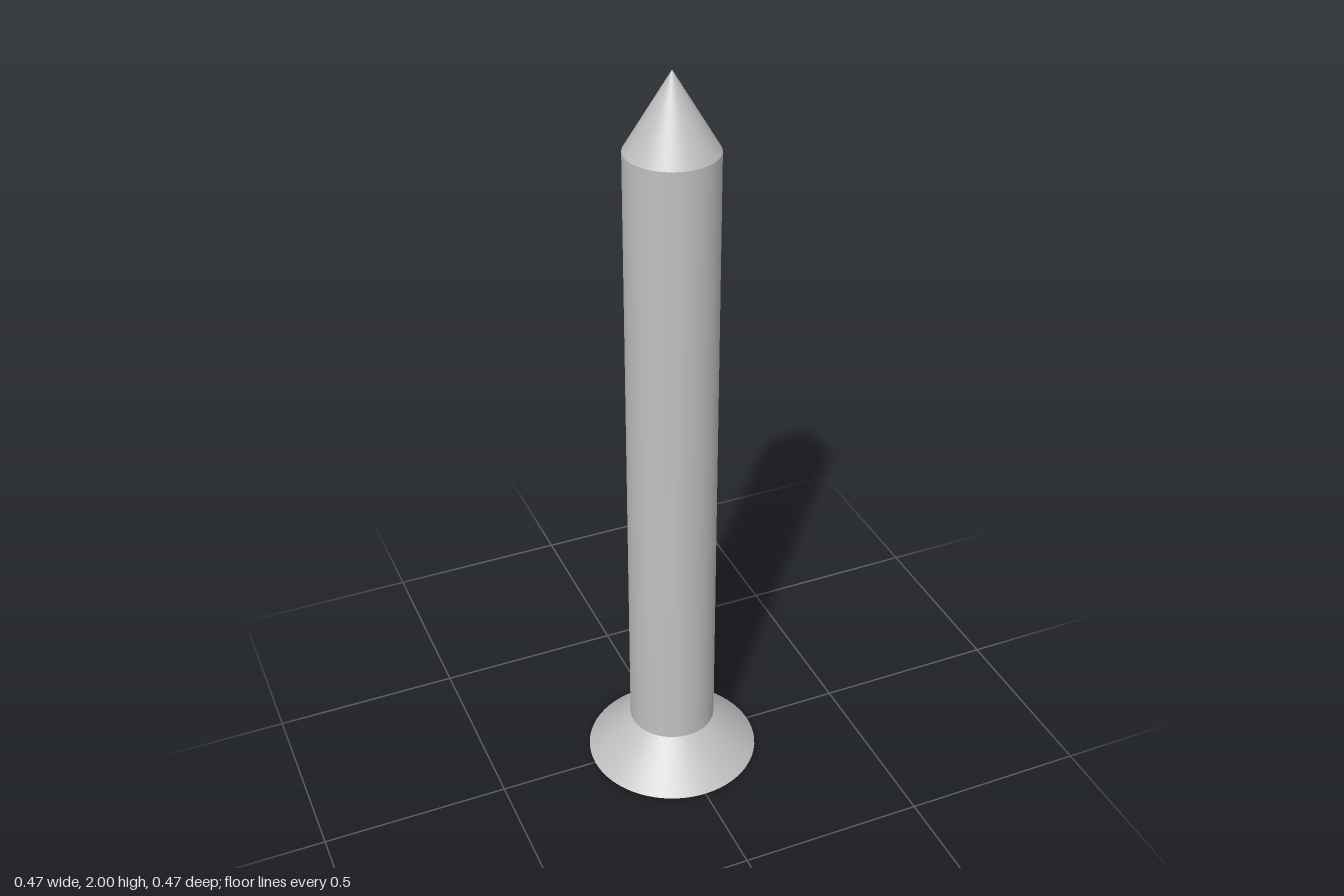
import * as THREE from 'three';

const SEGMENTS = 64;
const HEAD_R = 0.233, SHANK_R = 0.116;
const HEAD_H = 0.117, SHANK_TOP = 1.805, TOTAL_H = 2;
const ARM = 0.12, HALF_W = 0.03, RECESS_DEPTH = 0.07;

// Plus-shaped outline, counter-clockwise
function crossPoints(l, w) {
  const points = [];
  for (let i = 0; i < 4; i++) {
    const a = i * Math.PI / 2;
    for (const [x, y] of [[l, -w], [l, w], [w, w]]) {
      points.push(new THREE.Vector2(x, y).rotateAround(new THREE.Vector2(), a));
    }
  }
  return points;
}

// Inward-facing side walls of the recess
function recessWalls(points, depth) {
  const positions = [];
  points.forEach((a, i) => {
    const b = points[(i + 1) % points.length];
    positions.push(a.x, 0, a.y, b.x, 0, b.y, b.x, depth, b.y);
    positions.push(a.x, 0, a.y, b.x, depth, b.y, a.x, depth, a.y);
  });
  const geometry = new THREE.BufferGeometry();
  geometry.setAttribute('position', new THREE.Float32BufferAttribute(positions, 3));
  geometry.computeVertexNormals();
  return geometry;
}

export function createModel() {
  const model = new THREE.Group();
  model.name = 'screw';
  const steel = new THREE.MeshStandardMaterial({ color: 0xc0c0c0 });
  steel.name = 'steel';

  const add = (name, geometry, y = 0) => {
    const mesh = new THREE.Mesh(geometry, steel);
    mesh.name = name;
    mesh.position.y = y;
    model.add(mesh);
  };

  // Countersunk head, shank and pointed tip
  const shankH = SHANK_TOP - HEAD_H, tipH = TOTAL_H - SHANK_TOP;
  add('headCone', new THREE.CylinderGeometry(SHANK_R, HEAD_R, HEAD_H, SEGMENTS, 1, true), HEAD_H / 2);
  add('shank', new THREE.CylinderGeometry(SHANK_R, SHANK_R, shankH, SEGMENTS, 1, true), HEAD_H + shankH / 2);
  add('tip', new THREE.ConeGeometry(SHANK_R, tipH, SEGMENTS, 8, true), SHANK_TOP + tipH / 2);

  // Flat head face with a cross-shaped opening
  const cross = crossPoints(ARM, HALF_W);
  const face = new THREE.Shape().absarc(0, 0, HEAD_R, 0, Math.PI * 2);
  face.holes.push(new THREE.Path(cross));
  add('headFace', new THREE.ShapeGeometry(face, SEGMENTS / 2).rotateX(Math.PI / 2));

  // Driver recess
  add('recessWalls', recessWalls(cross, RECESS_DEPTH));
  add('recessFloor', new THREE.ShapeGeometry(new THREE.Shape(cross)).rotateX(Math.PI / 2), RECESS_DEPTH);

  return model;
}
